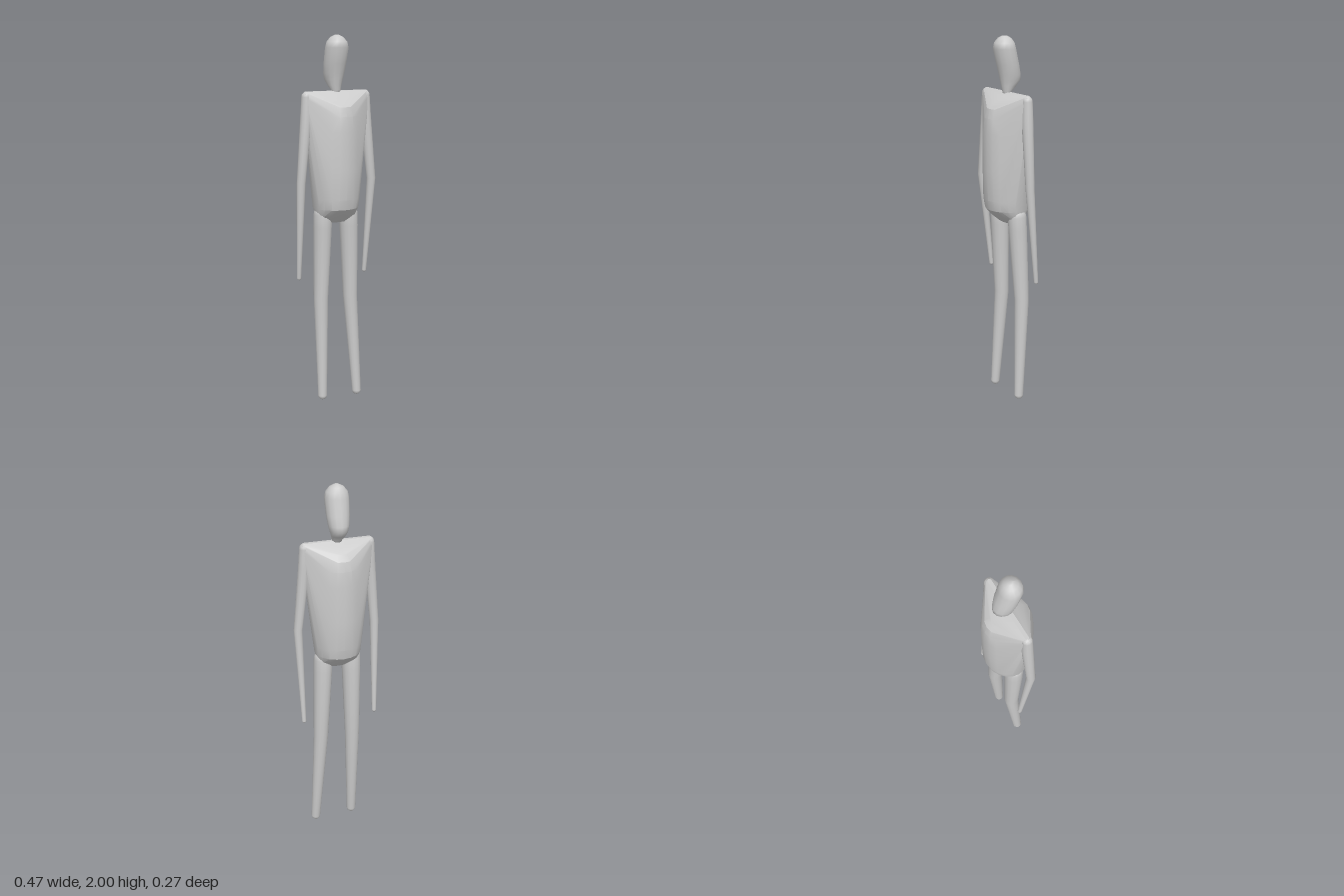
import * as THREE from 'three';
import { ConvexGeometry } from 'three/addons/geometries/ConvexGeometry.js';
import { mergeVertices, toCreasedNormals } from 'three/addons/utils/BufferGeometryUtils.js';

const material = new THREE.MeshStandardMaterial({ color: 0xcccccc });

// Points of a horizontal ellipse
function ring(x, y, z, rx, rz, sides) {
  return Array.from({ length: sides }, (_, i) => {
    const a = (i / sides) * Math.PI * 2;
    return new THREE.Vector3(x + Math.sin(a) * rx, y, z + Math.cos(a) * rz);
  });
}

// Closed skin over stations [x, y, z, rx, rz], listed from top to bottom
function loft(stations, sides) {
  const position = [], index = [];
  for (const s of stations) {
    for (const p of ring(...s, sides)) position.push(p.x, p.y, p.z);
  }
  const rows = stations.length;
  for (let r = 0; r < rows - 1; r++) {
    for (let i = 0; i < sides; i++) {
      const j = (i + 1) % sides;
      const a = r * sides + i, b = r * sides + j;
      const c = a + sides, d = b + sides;
      index.push(a, c, b, b, c, d);
    }
  }
  for (let i = 1; i < sides - 1; i++) {
    const e = (rows - 1) * sides;
    index.push(0, i, i + 1, e, e + i + 1, e + i);
  }
  const geometry = new THREE.BufferGeometry();
  geometry.setAttribute('position', new THREE.Float32BufferAttribute(position, 3));
  geometry.setIndex(index);
  geometry.computeVertexNormals();
  return geometry;
}

// Tapered limb through joints [x, y, z, radius], with rounded ends
function limb(joints, sides) {
  const cap = ([x, y, z, r], sign) => [80, 55, 28].map((deg) => {
    const a = THREE.MathUtils.degToRad(deg);
    return [x, y + sign * r * Math.sin(a), z, r * Math.cos(a), r * Math.cos(a)];
  });
  return loft([
    ...cap(joints[0], 1),
    ...joints.map(([x, y, z, r]) => [x, y, z, r, r]),
    ...cap(joints[joints.length - 1], -1).reverse(),
  ], sides);
}

// Barrel body stretched tight up to the two shoulder points
function torsoGeometry() {
  const points = [];
  const barrel = [
    [1.69, 0.04, 0.045], [1.66, 0.08, 0.088], [1.63, 0.105, 0.115], [1.58, 0.122, 0.128],
    [1.5, 0.128, 0.134], [1.3, 0.13, 0.134], [1.14, 0.13, 0.13], [1.085, 0.125, 0.118],
    [1.045, 0.115, 0.08], [1.005, 0.07, 0.03],
  ];
  for (const [y, rx, rz] of barrel) points.push(...ring(0, y, 0, rx, rz, 20));
  for (const side of [-1, 1]) {
    for (const [y, r] of [[1.71, 0.01], [1.7, 0.022], [1.68, 0.026], [1.66, 0.018]]) {
      points.push(...ring(side * 0.173, y, 0.005, r, r, 8));
    }
  }
  const hull = new ConvexGeometry(points);
  hull.deleteAttribute('normal');
  return toCreasedNormals(mergeVertices(hull, 1e-4), 0.35);
}

export function createModel() {
  const group = new THREE.Group();
  const add = (name, geometry) => {
    const mesh = new THREE.Mesh(geometry, material);
    mesh.name = name;
    group.add(mesh);
  };

  add('torso', torsoGeometry());

  // Head leans forward and narrows into the neck
  add('head', loft([
    [-0.002, 2.0, 0.018, 0.012, 0.014],
    [-0.002, 1.988, 0.018, 0.036, 0.036],
    [-0.002, 1.965, 0.019, 0.056, 0.053],
    [-0.002, 1.935, 0.018, 0.064, 0.06],
    [-0.002, 1.85, -0.004, 0.061, 0.06],
    [-0.002, 1.8, -0.016, 0.055, 0.06],
    [-0.002, 1.77, -0.02, 0.048, 0.058],
    [-0.002, 1.74, -0.01, 0.038, 0.042],
    [0, 1.715, 0.003, 0.028, 0.025],
    [0, 1.68, 0.003, 0.02, 0.018],
  ], 14));

  // Arms: shoulder, upper arm, elbow, hand
  for (const [name, side] of [['leftArm', 1], ['rightArm', -1]]) {
    add(name, limb([
      [side * 0.174, 1.682, 0.005, 0.028],
      [side * 0.178, 1.58, 0.006, 0.031],
      [side * 0.213, 1.23, 0.014, 0.024],
      [side * 0.203, 0.703, -0.039, 0.012],
    ], 12));
  }

  // Legs: hip, knee, foot; the left foot stands slightly further out
  add('leftLeg', limb([
    [0.082, 1.05, -0.003, 0.05], [0.084, 0.98, -0.005, 0.051],
    [0.102, 0.58, -0.02, 0.04], [0.126, 0.025, 0.016, 0.025],
  ], 14));
  add('rightLeg', limb([
    [-0.077, 1.05, -0.003, 0.05], [-0.077, 0.98, -0.005, 0.051],
    [-0.08, 0.58, -0.02, 0.04], [-0.091, 0.033, 0.018, 0.025],
  ], 14));

  return group;
}
